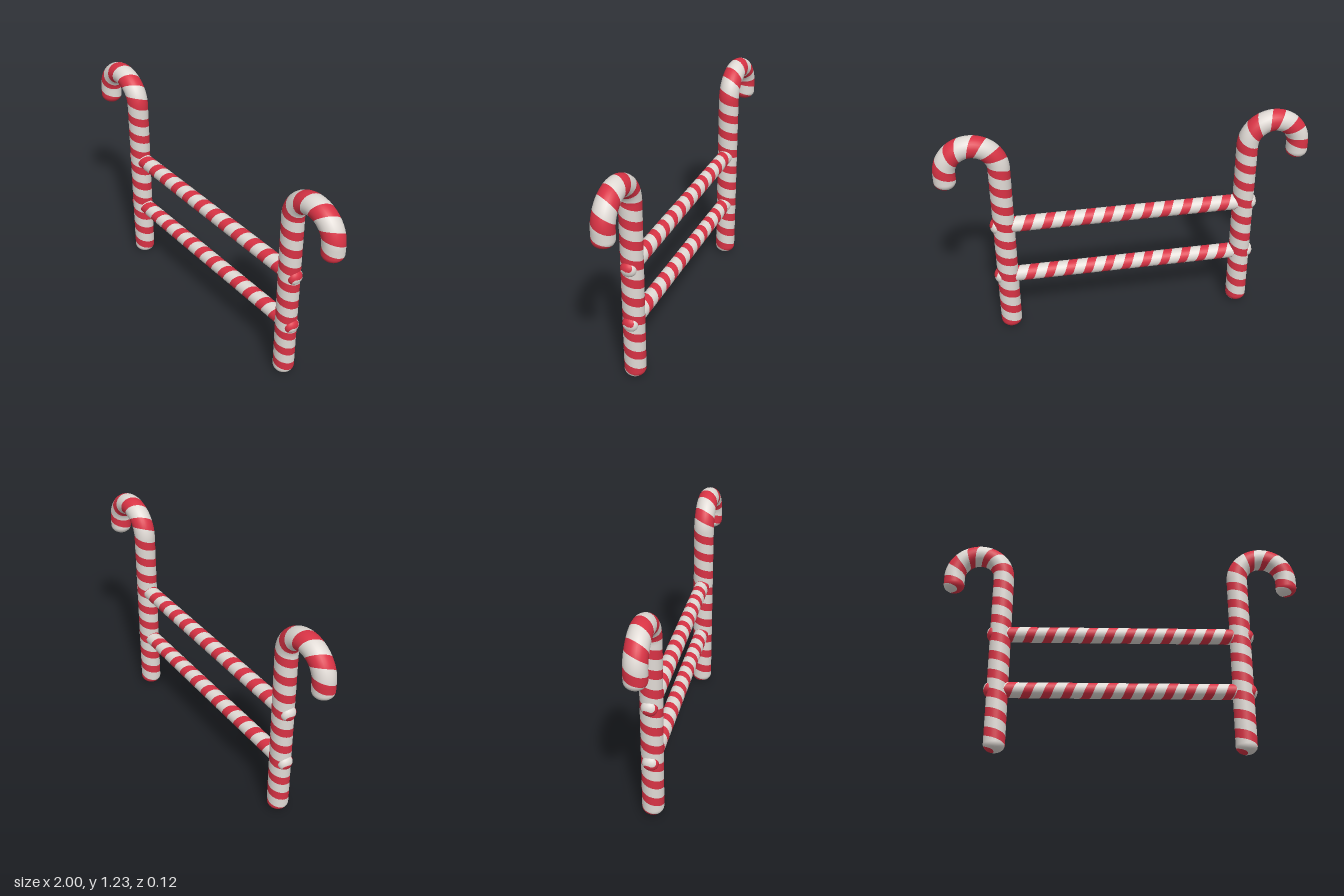
import * as THREE from 'three';

const RADIAL = 28, ROWS = 8, RED_SHARE = 0.46;
const Z = new THREE.Vector3(0, 0, 1);

// One colour of a round-ended tube, wound by a helix. path(s) gives a point and a tangent;
// (from, to) is the share of each pitch that this colour covers, counted from a red band's middle.
function spiralBand({ path, length, radius, cap, pitch, start }, from, to) {
  const pos = [], nor = [], idx = [];
  const kMax = Math.ceil((length - start) / pitch) + 1;
  const kMin = Math.floor(-start / pitch) - 2;
  for (let k = kMin; k <= kMax; k++) {
    const base = pos.length / 3;
    const at = [];
    for (let i = 0; i <= ROWS; i++) {
      const f = from + (to - from) * i / ROWS;
      for (let j = 0; j <= RADIAL; j++) {
        const a = (j / RADIAL - 0.5) * Math.PI * 2;
        const s = THREE.MathUtils.clamp(start + (k + f - a / (2 * Math.PI)) * pitch, 0, length);
        at.push(s);
        // elliptical caps: d is how far s reaches into a cap
        const d = s < cap ? s - cap : Math.max(0, s - length + cap);
        const r = radius * Math.sqrt(Math.max(0, 1 - (d / cap) ** 2));
        const { p, t } = path(s);
        const e = new THREE.Vector3().crossVectors(t, Z).multiplyScalar(Math.sin(a)).addScaledVector(Z, Math.cos(a));
        const n = e.clone().multiplyScalar(r / radius ** 2).addScaledVector(t, d / cap ** 2).normalize();
        pos.push(...p.clone().addScaledVector(e, r).toArray());
        nor.push(...n.toArray());
      }
    }
    const w = RADIAL + 1;
    for (let i = 0; i < ROWS; i++) {
      for (let j = 0; j < RADIAL; j++) {
        const a = i * w + j, b = a + 1, c = b + w, d = a + w;
        // skip cells squeezed flat beyond the ends
        if (at[a] === at[d] && at[b] === at[c]) continue;
        idx.push(base + a, base + b, base + c, base + a, base + c, base + d);
      }
    }
  }
  const g = new THREE.BufferGeometry();
  g.setAttribute('position', new THREE.Float32BufferAttribute(pos, 3));
  g.setAttribute('normal', new THREE.Float32BufferAttribute(nor, 3));
  g.setIndex(idx);
  return g;
}

export function createModel() {
  const red = new THREE.MeshStandardMaterial({ name: 'red', color: 0xd93345 });
  const white = new THREE.MeshStandardMaterial({ name: 'white', color: 0xe0dad5 });
  const model = new THREE.Group();
  model.name = 'candyCaneFence';

  function stripedTube(name, spec) {
    const group = new THREE.Group();
    group.name = name;
    const h = RED_SHARE / 2;
    const stripe = new THREE.Mesh(spiralBand(spec, -h, h), red);
    stripe.name = name + 'RedStripe';
    const body = new THREE.Mesh(spiralBand(spec, h, 1 - h), white);
    body.name = name + 'WhiteStripe';
    group.add(stripe, body);
    model.add(group);
  }

  // Canes: straight post, half-circle hook turned outward, short straight tip
  const postX = 0.663, bend = 0.1395, postTop = 1.037, tip = 0.092;
  const arc = Math.PI * bend;
  for (const side of [1, -1]) {
    stripedTube(side > 0 ? 'leftCane' : 'rightCane', {
      path: (s) => {
        const phi = THREE.MathUtils.clamp((s - postTop) / bend, 0, Math.PI);
        const drop = Math.max(0, s - postTop - arc);
        return {
          p: new THREE.Vector3(
            side * (postX + bend - bend * Math.cos(phi)),
            Math.min(s, postTop) + bend * Math.sin(phi) - drop, 0),
          t: new THREE.Vector3(side * Math.sin(phi), Math.cos(phi), 0),
        };
      },
      length: postTop + arc + tip, radius: 0.058, cap: 0.045, pitch: 0.11, start: 0.09,
    });
  }

  // Rails: run through both posts and end in small rounded knobs
  const half = 0.738;
  [['lowerRail', 0.352], ['upperRail', 0.682]].forEach(([name, y]) => stripedTube(name, {
    path: (s) => ({ p: new THREE.Vector3(s - half, y, 0), t: new THREE.Vector3(1, 0, 0) }),
    length: half * 2, radius: 0.043, cap: 0.033, pitch: 0.1084, start: half - 0.596,
  }));

  return model;
}
